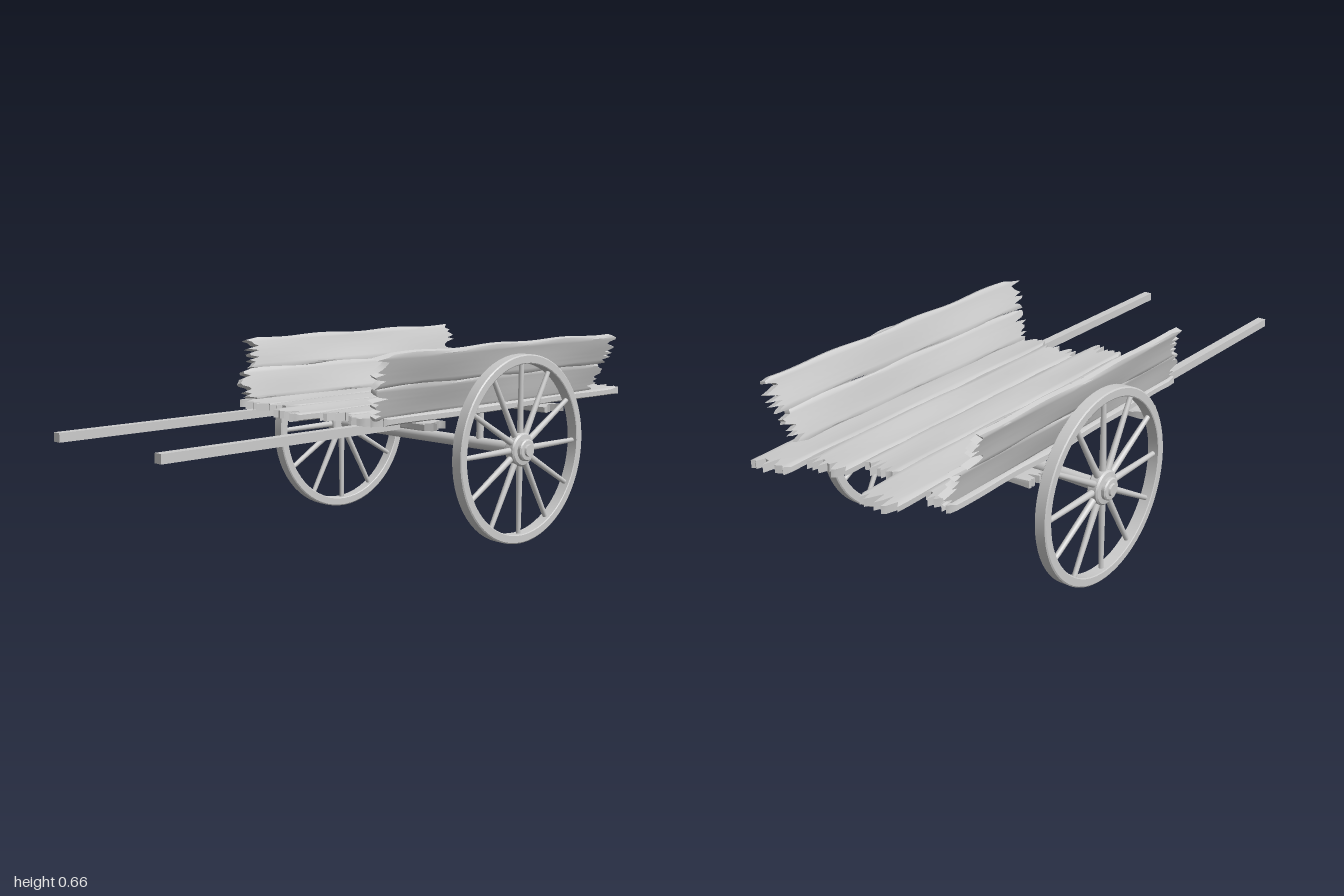
import * as THREE from 'three';
import { toCreasedNormals } from 'three/addons/utils/BufferGeometryUtils.js';

const wood = new THREE.MeshStandardMaterial({ color: 0xcccccc });
const AXLE_X = 0.3, AXLE_Y = 0.312;

// Small seeded generator, so every plank breaks differently
function seeded(seed) {
  let s = seed * 7919 + 17;
  return () => (s = (s * 16807) % 2147483647) / 2147483647;
}

function add(parent, name, geometry, x = 0, y = 0, z = 0) {
  const mesh = new THREE.Mesh(geometry, wood);
  mesh.name = name;
  mesh.position.set(x, y, z);
  parent.add(mesh);
  return mesh;
}

// Weathered plank running from x0 to x1, with splintered ends and a gentle warp
function plankGeometry(x0, x1, width, thick, seed, depth = 0.075) {
  const rows = 14, rand = seeded(seed);
  for (let i = 0; i < 5; i++) rand();
  const jag = () => Array.from({ length: rows + 1 }, (_, i) => {
    const edge = i === 0 || i === rows ? 0.3 : 0;
    return depth * Math.min(1, edge + Math.pow(rand(), 1.2) * 0.9);
  });
  const startJag = jag(), endJag = jag(), phase = rand() * 6;
  const g = new THREE.BoxGeometry(1, thick, width, 24, 2, rows);
  const p = g.attributes.position;
  for (let i = 0; i < p.count; i++) {
    const u = p.getX(i) + 0.5, y = p.getY(i), z = p.getZ(i);
    const row = Math.round((z / width + 0.5) * rows);
    const side = row === 0 || row === rows;
    const x = THREE.MathUtils.lerp(x0 + startJag[row], x1 - endJag[row], u);
    const warp = 0.003 * Math.sin(x * 7 + phase) * Math.cos(z * 30 + phase);
    const wobble = side ? 0.003 * Math.sin(x * 17 + phase * 2) : 0;
    p.setXYZ(i, x, y * (side ? 0.65 : 1) + warp, z + wobble);
  }
  return toCreasedNormals(g, 0.7);
}

function lathe(points, segments) {
  const profile = points.map(([r, y]) => new THREE.Vector2(r, y));
  return toCreasedNormals(new THREE.LatheGeometry(profile, segments), 0.5);
}

// Wheel lying in its own xz plane; +y is the outer face
function makeWheel() {
  const wheel = new THREE.Group();
  add(wheel, 'rim', lathe([
    [0.28, -0.018], [0.283, -0.02], [0.306, -0.02], [0.31, -0.017], [0.31, 0.017],
    [0.306, 0.02], [0.283, 0.02], [0.28, 0.018], [0.28, -0.018],
  ], 64));
  add(wheel, 'hub', lathe([
    [0, -0.02], [0.05, -0.02], [0.055, -0.015], [0.055, 0.013], [0.05, 0.018], [0.036, 0.02],
    [0.036, 0.03], [0.032, 0.034], [0.02, 0.035], [0.018, 0.041], [0, 0.041],
  ], 32));
  for (let i = 0; i < 12; i++) {
    const a = (i / 12) * Math.PI * 2;
    const spoke = new THREE.CylinderGeometry(0.008, 0.011, 0.24, 10);
    spoke.translate(0, 0.165, 0).rotateZ(Math.PI / 2).rotateY(a);
    add(wheel, 'spoke', spoke);
  }
  return wheel;
}

export function createModel() {
  const cart = new THREE.Group();
  cart.name = 'handcart';

  // Floor planks: centre z, start x, end x
  const floor = new THREE.Group();
  floor.name = 'floor';
  cart.add(floor);
  [
    [-0.265, -0.28, 0.88], [-0.135, -0.27, 0.98], [-0.005, -0.36, 0.83],
    [0.128, -0.28, 0.92], [0.264, -0.28, 1.0],
  ].forEach(([z, x0, x1], i) => {
    const plank = add(floor, 'floorPlank', plankGeometry(x0, x1, 0.132, 0.025, i + 1), 0, 0.442, z);
    plank.rotation.x = [0.03, -0.04, 0.02, -0.04, 0.03][i];
  });

  // Leaning side boards, two on each side: start x and end x of lower and upper
  [
    { side: 1, boards: [[-0.28, 0.87], [-0.31, 0.9]] },
    { side: -1, boards: [[-0.28, 0.9], [-0.21, 0.83]] },
  ].forEach(({ side, boards }) => {
    const wall = new THREE.Group();
    wall.name = side > 0 ? 'frontSideWall' : 'backSideWall';
    cart.add(wall);
    boards.forEach(([x0, x1], i) => {
      const geometry = plankGeometry(x0, x1, 0.108, 0.024, 20 + side * 5 + i * 2);
      const board = add(wall, i ? 'upperBoard' : 'lowerBoard', geometry,
        0, i ? 0.603 : 0.502, side * (i ? 0.353 : 0.316));
      board.rotation.x = -Math.PI / 2 + side * 0.31;
    });
  });

  // Cross planks beneath the floor
  [-0.04, 0.55].forEach((x, i) => {
    const geometry = plankGeometry(-0.38, 0.38, 0.09, 0.024, 40 + i * 3, 0.05);
    add(cart, 'crossPlank', geometry, x, 0.417, 0).rotation.y = Math.PI / 2;
  });

  // Axle
  const axle = new THREE.CylinderGeometry(0.02, 0.02, 0.86, 24).rotateX(Math.PI / 2);
  add(cart, 'axle', axle, AXLE_X, AXLE_Y, 0);

  // Handles, axle posts and wheels on both sides
  for (const side of [1, -1]) {
    add(cart, 'handle', new THREE.BoxGeometry(0.9, 0.028, 0.03), -0.55, 0.416, side * 0.253);
    add(cart, 'axlePost', new THREE.CylinderGeometry(0.0125, 0.0125, 0.12, 16),
      AXLE_X, 0.375, side * 0.253);
    const wheel = makeWheel();
    wheel.name = side > 0 ? 'frontWheel' : 'backWheel';
    wheel.position.set(AXLE_X, AXLE_Y, side * 0.424);
    wheel.rotation.x = side * Math.PI / 2;
    cart.add(wheel);
  }
  return cart;
}
